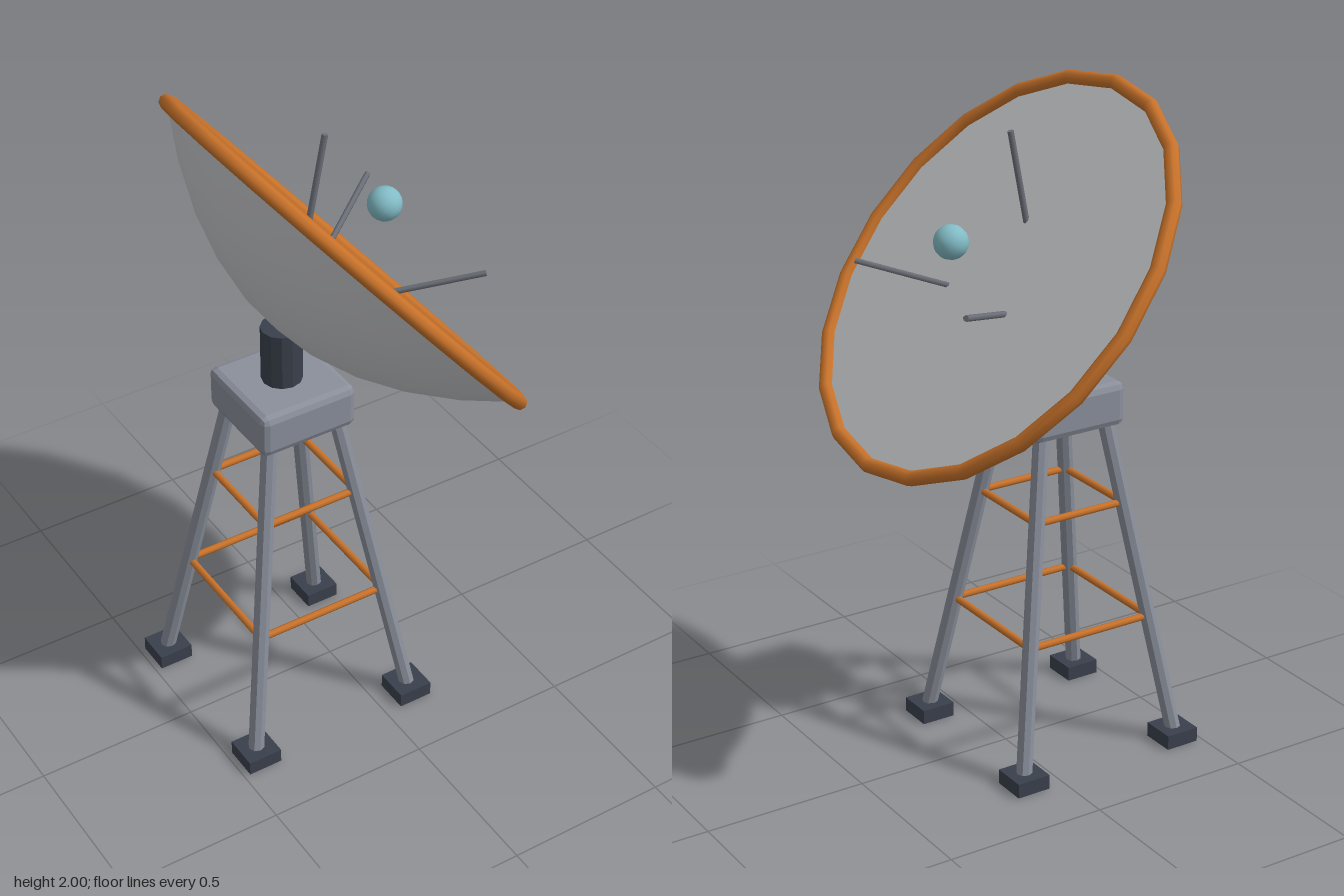
import * as THREE from 'three';
import { RoundedBoxGeometry } from 'three/addons/geometries/RoundedBoxGeometry.js';

const mat = (name, color, extra = {}) => {
  const m = new THREE.MeshStandardMaterial({ color, ...extra });
  m.name = name;
  return m;
};

export function createModel() {
  const steel = mat('steel grey', 0x8a8f9b, { flatShading: true });
  const dark = mat('dark slate', 0x3a404c, { flatShading: true });
  const orange = mat('orange', 0xc8722a);
  const pale = mat('pale grey', 0xc6c7ca);
  const strutGrey = mat('strut grey', 0x6c7079);
  const teal = mat('teal', 0x82bcc6);

  const model = new THREE.Group();
  model.name = 'dishAntenna';

  const add = (parent, name, geometry, material, x = 0, y = 0, z = 0) => {
    const mesh = new THREE.Mesh(geometry, material);
    mesh.name = name;
    mesh.position.set(x, y, z);
    parent.add(mesh);
    return mesh;
  };

  // Round bar between two points
  const bar = (parent, name, a, b, radius, material, sides = 8) => {
    const dir = b.clone().sub(a);
    const mesh = add(parent, name, new THREE.CylinderGeometry(radius, radius, dir.length(), sides), material);
    mesh.position.copy(a).add(b).multiplyScalar(0.5);
    mesh.quaternion.setFromUnitVectors(new THREE.Vector3(0, 1, 0), dir.normalize());
  };

  // Tower: four splayed legs on square feet, with two rings of braces
  const tower = new THREE.Group();
  tower.name = 'tower';
  tower.position.x = -0.16;
  model.add(tower);
  const corners = [[1, 1], [1, -1], [-1, -1], [-1, 1]];
  const spread = (y) => 0.267 - 0.155 * (y - 0.04) / 0.97;
  const corner = (i, y) => {
    const [sx, sz] = corners[i % 4];
    return new THREE.Vector3(sx * spread(y), y, sz * spread(y));
  };
  for (let i = 0; i < 4; i++) {
    const [sx, sz] = corners[i];
    add(tower, 'foot', new THREE.BoxGeometry(0.107, 0.045, 0.107), dark, sx * 0.267, 0.0225, sz * 0.267);
    bar(tower, 'leg', corner(i, 0.03), corner(i, 1.02), 0.024, steel);
    for (const y of [0.405, 0.765]) bar(tower, 'brace', corner(i, y), corner(i + 1, y), 0.011, orange);
  }

  // Chamfered head and pedestal
  add(tower, 'head', new RoundedBoxGeometry(0.308, 0.135, 0.308, 1, 0.022), steel, 0, 1.073, 0);
  add(tower, 'pedestal', new THREE.CylinderGeometry(0.06, 0.06, 0.195, 12), dark, 0, 1.218, 0);

  // Dish, tipped so its local +y looks along +x and up
  const dish = new THREE.Group();
  dish.name = 'dish';
  dish.position.set(0.045, 1.49, 0);
  dish.rotation.z = -THREE.MathUtils.degToRad(50);
  model.add(dish);
  const R = 0.64, depth = 0.285;
  const profile = [];
  for (let i = 0; i <= 5; i++) {
    const r = i / 5;
    profile.push(new THREE.Vector2(R * r, -depth * (1 - r * r)));
  }
  add(dish, 'dishBack', new THREE.LatheGeometry(profile, 20), pale);
  add(dish, 'dishFace', new THREE.CircleGeometry(R, 20).rotateX(-Math.PI / 2), pale);
  add(dish, 'rim', new THREE.TorusGeometry(R, 0.022, 8, 20).rotateX(Math.PI / 2), orange);

  // Feed ball and its three struts
  add(dish, 'feed', new THREE.SphereGeometry(0.05, 16, 12), teal, 0, 0.175, 0);
  for (const degrees of [60, 180, 300]) {
    const t = THREE.MathUtils.degToRad(degrees);
    const at = (r, h) => new THREE.Vector3(r * Math.cos(t), h, r * Math.sin(t));
    bar(dish, 'strut', at(0.16, -0.02), at(0.345, 0.21), 0.009, strutGrey, 6);
  }

  return model;
}
